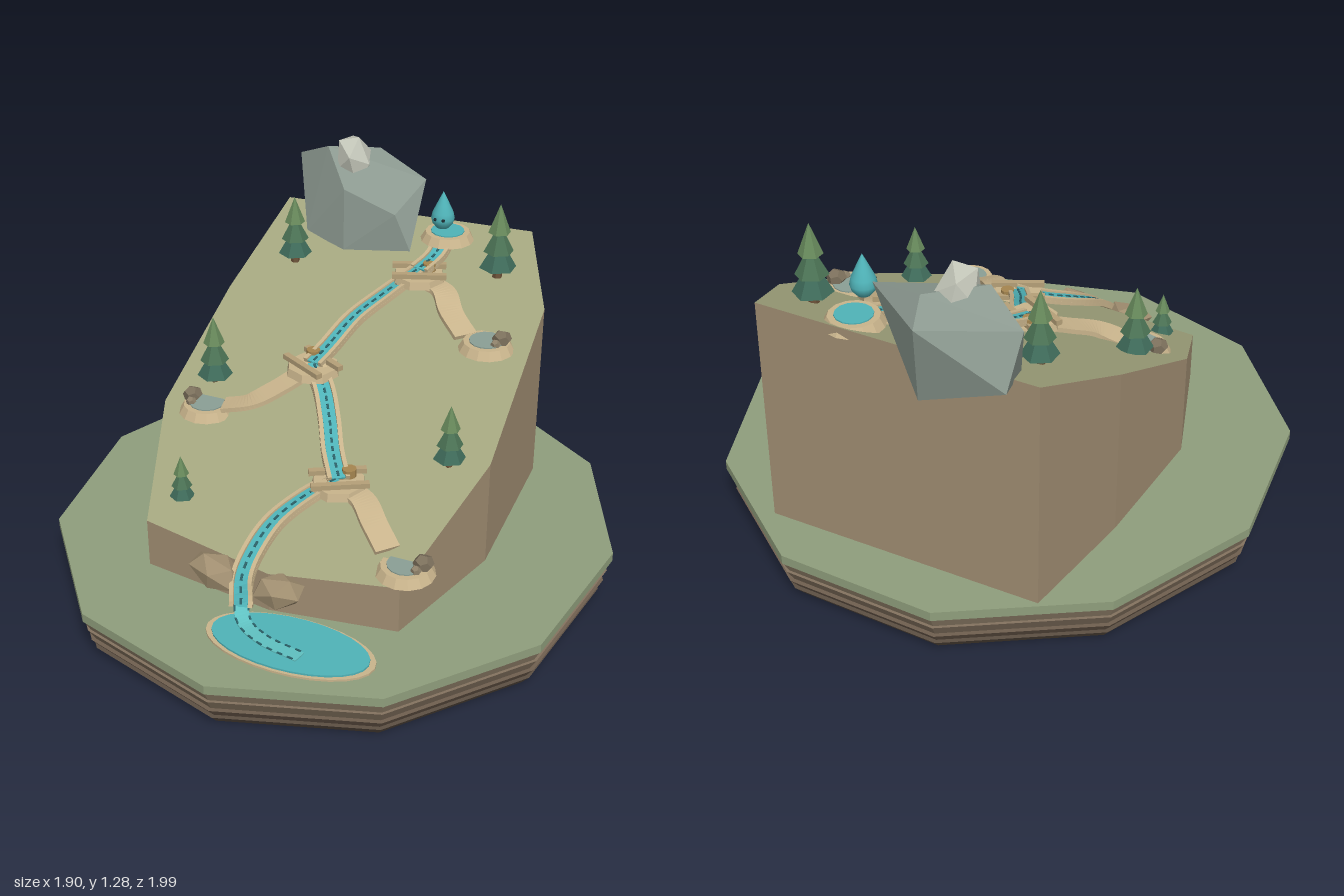
import * as THREE from 'three';
import { ConvexGeometry } from 'three/addons/geometries/ConvexGeometry.js';

const TAN = 0xc9b48c, WATER = 0x4fb3b8, DARK = 0x2a5f66, DRY = 0x8a9f95, STONE = 0xa08e70;
const V = (x, y, z) => new THREE.Vector3(x, y, z);
const mat = (color, flatShading = true) => {
  const m = new THREE.MeshStandardMaterial({ flatShading });
  m.color.set(color);
  return m;
};
// height of the sloping hill top
const ground = z => 0.99 - 0.444 * (z + 0.84);

function add(parent, name, geo, color, x = 0, y = 0, z = 0, flat = true) {
  const mesh = new THREE.Mesh(geo, mat(color, flat));
  mesh.name = name;
  mesh.position.set(x, y, z);
  parent.add(mesh);
  return mesh;
}

function group(parent, name, x = 0, y = 0, z = 0) {
  const g = new THREE.Group();
  g.name = name;
  g.position.set(x, y, z);
  parent.add(g);
  return g;
}

// rectangular section swept along a path, kept level from side to side
function ribbon(path, width, height, lift = 0, offset = 0, steps = 28, from = 0, to = 1) {
  const pos = [], idx = [];
  for (let i = 0; i <= steps; i++) {
    const t = from + (to - from) * i / steps;
    const p = path.getPointAt(t), d = path.getTangentAt(t);
    const side = V(-d.z, 0, d.x).normalize();
    const up = V().crossVectors(d, side).normalize();
    if (up.y < 0) up.negate();
    for (const [s, h] of [[-1, 0], [1, 0], [1, 1], [-1, 1]]) {
      const q = p.clone().addScaledVector(side, offset + s * width / 2).addScaledVector(up, lift + h * height);
      pos.push(q.x, q.y, q.z);
    }
    if (i < steps) for (let k = 0; k < 4; k++) {
      const a = i * 4 + k, b = i * 4 + (k + 1) % 4;
      idx.push(a, a + 4, b, b, a + 4, b + 4);
    }
  }
  const e = steps * 4;
  idx.push(0, 1, 2, 0, 2, 3, e, e + 2, e + 1, e, e + 3, e + 2);
  const g = new THREE.BufferGeometry();
  g.setAttribute('position', new THREE.Float32BufferAttribute(pos, 3));
  g.setIndex(idx);
  g.computeVertexNormals();
  return g;
}

function ribbonMesh(parent, name, color, ...args) {
  const mesh = add(parent, name, ribbon(...args), color);
  mesh.material.side = THREE.DoubleSide;
}

// banks, water and dashes of one stretch of stream
function stream(parent, pts) {
  const g = group(parent, 'streamStretch');
  const path = new THREE.CatmullRomCurve3(pts);
  ribbonMesh(g, 'streamBed', TAN, path, 0.075, 0.012, -0.008);
  ribbonMesh(g, 'streamWater', WATER, path, 0.044, 0.006, 0.004);
  for (const s of [-1, 1]) ribbonMesh(g, 'streamBank', TAN, path, 0.014, 0.014, 0.002, s * 0.03);
  const n = Math.round(path.getLength() / 0.036);
  for (let i = 0; i < n; i++)
    ribbonMesh(g, 'flowDash', DARK, path, 0.008, 0.003, 0.01, 0, 1, (i + 0.2) / n, (i + 0.75) / n);
}

function basin(parent, name, x, y, z, water) {
  const g = group(parent, name, x, y, z);
  add(g, 'basinRim', new THREE.CylinderGeometry(0.08, 0.097, 0.03, 14), TAN);
  add(g, 'basinWater', new THREE.CylinderGeometry(0.06, 0.06, 0.006, 14), water, 0, 0.016);
  return g;
}

function tree(parent, x, y, z, h) {
  const g = group(parent, 'tree', x, y, z);
  add(g, 'trunk', new THREE.CylinderGeometry(0.05 * h, 0.065 * h, 0.2 * h, 6), 0x6b5138, 0, 0.1 * h);
  [[0.24, 0.42, 0.14, 0x3f6b5a], [0.195, 0.38, 0.36, 0x4c7355], [0.145, 0.38, 0.62, 0x688a5c]]
    .forEach(([r, ch, y0, c]) => add(g, 'foliage', new THREE.ConeGeometry(r * h, ch * h, 6), c, 0, (y0 + ch / 2) * h));
}

export function createModel() {
  const model = new THREE.Group();
  model.name = 'hillStreamDiorama';

  // island base: stacked eleven-sided layers
  const base = group(model, 'islandBase', 0, 0, -0.02);
  [[0.16, 0.192, 1, 1, 0x8f9e7c], [0.118, 0.156, 0.995, 0.975, 0x94836c], [0.075, 0.118, 0.985, 0.96, 0x84735f],
    [0.036, 0.075, 0.975, 0.945, 0x705f4f], [0, 0.036, 0.96, 0.93, 0x5c4f43]].forEach(([y0, y1, rt, rb, c]) => {
    const m = add(base, 'baseLayer', new THREE.CylinderGeometry(rt, rb, y1 - y0, 11), c, 0, (y0 + y1) / 2);
    m.scale.set(0.96, 1, 1.016);
  });

  // hill: extruded footprint whose top follows the slope
  const foot = [[-0.44, 0.53], [0.03, 0.6], [0.45, 0.54], [0.575, 0.07], [0.55, -0.54], [0.4, -0.85],
    [-0.54, -0.82], [-0.585, -0.39], [-0.595, 0.1]];
  const hillGeo = new THREE.ExtrudeGeometry(new THREE.Shape(foot.map(([x, z]) => new THREE.Vector2(x, -z))),
    { depth: 1, bevelEnabled: false });
  hillGeo.rotateX(-Math.PI / 2);
  const hp = hillGeo.attributes.position;
  for (let i = 0; i < hp.count; i++) hp.setY(i, hp.getY(i) > 0.5 ? ground(hp.getZ(i)) : 0.21);
  hillGeo.computeVertexNormals();
  const hill = new THREE.Mesh(hillGeo, [mat(0xa3a57e), mat(0xa08d72)]);
  hill.name = 'hill';
  model.add(hill);

  // stream stretches between the platforms
  const on = (x, z, lift = 0.03) => V(x, ground(z) + lift, z);
  stream(model, [on(0.12, -0.71, 0.035), on(0.11, -0.64), on(0.085, -0.55, 0.05)]);
  stream(model, [on(0.085, -0.55, 0.05), on(0.0, -0.45), on(-0.07, -0.33), on(-0.11, -0.2), on(-0.13, -0.11, 0.045)]);
  stream(model, [on(-0.13, -0.11, 0.045), on(-0.06, -0.04), on(0.01, 0.07), on(0.07, 0.18), on(0.13, 0.27, 0.035)]);
  stream(model, [on(0.13, 0.27, 0.035), on(0.05, 0.35), on(-0.015, 0.46), on(-0.04, 0.57, 0.02), V(-0.045, 0.33, 0.63),
    V(-0.035, 0.25, 0.665)]);

  // waterfall foot and trace across the pool
  const tail = new THREE.CatmullRomCurve3([V(-0.037, 0.26, 0.66), V(-0.01, 0.222, 0.7), V(0.08, 0.212, 0.75), V(0.22, 0.211, 0.78)]);
  ribbonMesh(model, 'poolCurrent', 0x5fc0c0, tail, 0.046, 0.004);
  for (const s of [-1, 1]) for (let i = 0; i < 8; i++)
    ribbonMesh(model, 'currentDash', DARK, tail, 0.006, 0.003, 0.004, s * 0.022, 1, (i + 0.2) / 8, (i + 0.7) / 8);

  // lower pool
  const pool = group(model, 'lowerPool', 0.16, 0, 0.722);
  pool.scale.set(0.285, 1, 0.135);
  add(pool, 'poolRim', new THREE.CylinderGeometry(1, 1, 0.035, 28), TAN, 0, 0.182);
  add(pool, 'poolWater', new THREE.CylinderGeometry(0.93, 0.93, 0.008, 28), WATER, 0, 0.202);

  // spring and side ponds with their pebbles
  basin(model, 'spring', 0.115, 0.972, -0.752, WATER);
  const ponds = [[0.41, 0.785, -0.345, 0.05], [-0.44, 0.577, 0.085, -0.06], [0.44, 0.4, 0.465, 0.055]];
  ponds.forEach(([x, y, z, px]) => {
    const g = basin(model, 'sidePond', x, y, z, DRY);
    const pebble = add(g, 'pebble', new THREE.DodecahedronGeometry(0.034), 0x7c705c, px, 0.03, -0.01);
    pebble.scale.y = 0.85;
    add(g, 'pebble', new THREE.DodecahedronGeometry(0.018), 0x8d8069, px * 0.8, 0.022, 0.025);
  });

  // dry side channels
  [[on(0.1, -0.54), on(0.19, -0.51), on(0.25, -0.43), on(0.33, -0.36, 0.02)],
    [on(-0.15, -0.1), on(-0.22, -0.01), on(-0.29, 0.06), on(-0.38, 0.08, 0.015)],
    [on(0.15, 0.28), on(0.23, 0.31), on(0.3, 0.38), on(0.37, 0.44, 0.015)]].forEach(pts =>
    ribbonMesh(model, 'sideChannel', TAN, new THREE.CatmullRomCurve3(pts), 0.085, 0.016, -0.012));

  // platforms with cross bars and a peg
  [[0.085, 0.89, -0.55, 0.35, 0.025, -0.035], [-0.13, 0.697, -0.11, -0.5, -0.02, -0.05], [0.13, 0.517, 0.27, 0.5, 0.02, -0.04]]
    .forEach(([x, y, z, turn, px, pz]) => {
      const g = group(model, 'platform', x, y, z);
      add(g, 'platformDisc', new THREE.CylinderGeometry(0.088, 0.095, 0.028, 8), TAN);
      const bars = group(g, 'crossBars');
      bars.rotation.y = turn;
      for (const s of [-1, 1])
        add(bars, 'crossBar', new THREE.BoxGeometry(0.19, 0.018, 0.022), 0xb5a078, 0, 0.022, s * 0.045);
      add(g, 'peg', new THREE.CylinderGeometry(0.024, 0.024, 0.034, 10), 0xa5854f, px, 0.025, pz);
    });

  // trees
  [[-0.395, 0.86, -0.55, 0.25], [0.345, 0.9, -0.635, 0.275], [-0.46, 0.61, -0.02, 0.255], [0.445, 0.565, 0.1, 0.225],
    [-0.365, 0.41, 0.42, 0.175]].forEach(t => tree(model, ...t));

  // summit boulder and its pale cap
  const boulder = [[-0.5, 1.16, -0.84], [-0.36, 1.23, -0.77], [-0.2, 1.21, -0.88], [0.01, 1.15, -0.8], [0.01, 0.93, -0.65],
    [-0.24, 0.9, -0.63], [-0.41, 0.92, -0.69], [-0.49, 1.0, -0.92], [-0.22, 1.14, -0.955], [-0.05, 1.06, -0.65],
    [-0.2, 0.88, -0.91], [-0.25, 1.12, -0.66]];
  add(model, 'summitBoulder', new ConvexGeometry(boulder.map(p => V(...p))), 0x8b988f);
  const cap = add(model, 'paleCapRock', new THREE.IcosahedronGeometry(1), 0xc2c5b8, -0.265, 1.185, -0.79);
  cap.scale.set(0.07, 0.105, 0.09);
  cap.rotation.set(0.2, 0.3, 0.15);

  // rocks beside the waterfall
  [[-0.14, 0.325, 0.62, 0.105, -0.2], [0.078, 0.315, 0.625, 0.09, 0.1]].forEach(([x, y, z, w, tilt]) => {
    const r = add(model, 'waterfallRock', new THREE.IcosahedronGeometry(1), STONE, x, y, z);
    r.scale.set(w, 0.058, 0.062);
    r.rotation.set(0.2, tilt, tilt);
  });

  // water drop figure over the spring
  const drop = group(model, 'waterDrop', 0.115, 1.062, -0.695);
  const profile = [[0, -0.042], [0.022, -0.036], [0.037, -0.018], [0.042, 0], [0.037, 0.022], [0.024, 0.05], [0.01, 0.08], [0, 0.1]];
  add(drop, 'dropBody', new THREE.LatheGeometry(profile.map(p => new THREE.Vector2(...p)), 20), WATER, 0, 0, 0, false);
  for (const s of [-1, 1])
    add(drop, 'eye', new THREE.SphereGeometry(0.006, 10, 8), 0x1d2b30, s * 0.015, 0.004, 0.038, false);

  return model;
}
